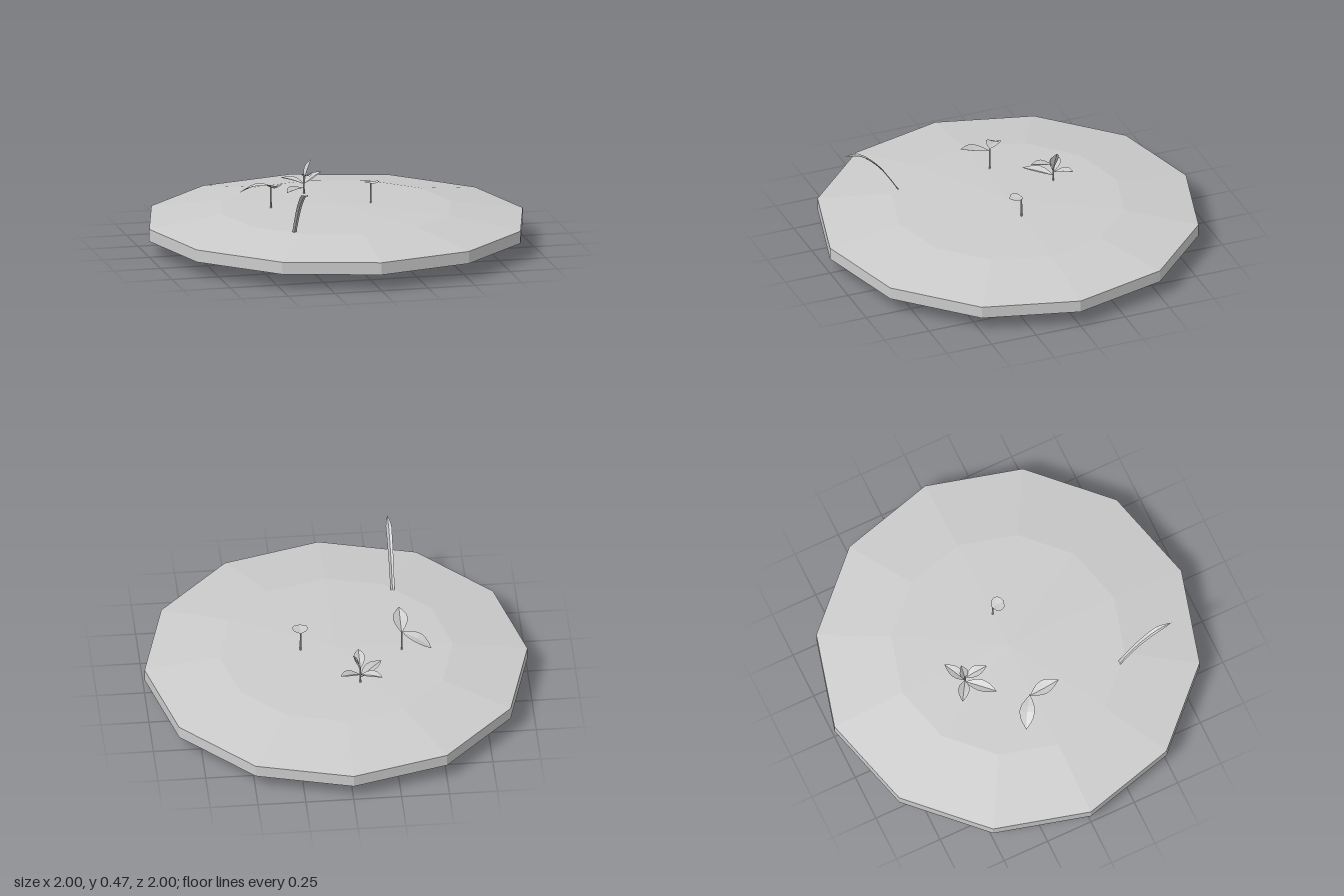
import * as THREE from 'three';

const solid = new THREE.MeshStandardMaterial({ color: 0xcccccc, flatShading: true });
const thin = new THREE.MeshStandardMaterial({ color: 0xcccccc, flatShading: true, side: THREE.DoubleSide });
const V = (p) => new THREE.Vector3(...p);

// Folded leaf swept along a curve: three points per row, midrib below the edges
function leaf(name, points, width, { fold = 0.2, rows = 6, shape = (t) => Math.sin(Math.PI * t) } = {}) {
  const curve = new THREE.CatmullRomCurve3(points.map(V));
  const side = new THREE.Vector3(0, 1, 0)
    .cross(V(points.at(-1)).sub(V(points[0]))).normalize().multiplyScalar(width / 2);
  const pos = [], index = [];
  for (let i = 0; i <= rows; i++) {
    const t = i / rows, w = shape(t), p = curve.getPoint(t);
    const up = new THREE.Vector3().crossVectors(curve.getTangent(t), side).normalize();
    for (const s of [-1, 0, 1]) {
      const q = p.clone().addScaledVector(side, s * w).addScaledVector(up, Math.abs(s) * w * fold * width / 2);
      pos.push(q.x, q.y, q.z);
    }
    if (i < rows) {
      for (const k of [0, 1]) {
        const a = i * 3 + k;
        index.push(a, a + 1, a + 3, a + 1, a + 4, a + 3);
      }
    }
  }
  const g = new THREE.BufferGeometry();
  g.setAttribute('position', new THREE.Float32BufferAttribute(pos, 3));
  g.setIndex(index);
  g.computeVertexNormals();
  const mesh = new THREE.Mesh(g, thin);
  mesh.name = name;
  return mesh;
}

// Thin upright stalk
function stem(x, z, y0, y1) {
  const mesh = new THREE.Mesh(new THREE.CylinderGeometry(0.004, 0.005, y1 - y0, 5), solid);
  mesh.position.set(x, (y0 + y1) / 2, z);
  mesh.name = 'stem';
  return mesh;
}

function plant(name, ...parts) {
  const g = new THREE.Group();
  g.name = name;
  g.add(...parts);
  return g;
}

export function createModel() {
  const model = new THREE.Group();
  model.name = 'plantedDisc';

  // Twelve-sided ground slab with bevelled faces
  const profile = [[0, 0], [0.61, 0.022], [1, 0.085], [1, 0.15], [0.61, 0.21], [0, 0.23]];
  const ground = new THREE.Mesh(
    new THREE.LatheGeometry(profile.map(([r, y]) => new THREE.Vector2(r, y)), 12), solid);
  ground.name = 'ground';
  model.add(ground);

  // Bent grass blade leaning to the front
  model.add(leaf('grassBlade',
    [[-0.34, 0.205, 0.48], [-0.34, 0.335, 0.565], [-0.34, 0.405, 0.63], [-0.34, 0.455, 0.7], [-0.34, 0.468, 0.78]],
    0.032, { rows: 8, fold: 0.4, shape: (t) => (t > 0.8 ? (1 - t) * 5 : 0.7 + 0.375 * t) }));

  // Seedling with two leaves
  model.add(plant('twoLeafPlant',
    stem(-0.34, -0.036, 0.21, 0.335),
    leaf('backLeaf', [[-0.34, 0.335, -0.036], [-0.415, 0.325, -0.088], [-0.488, 0.285, -0.128]], 0.08),
    leaf('frontLeaf', [[-0.34, 0.325, -0.036], [-0.34, 0.343, 0.05], [-0.34, 0.37, 0.13]], 0.078, { fold: 0.5 })));

  // Rosette with four spreading leaves and one upright leaf
  const c = [-0.1, 0.25, -0.295];
  const rosette = plant('rosette', stem(c[0], c[2], 0.215, 0.32));
  for (const [name, y, tip, width] of [
    ['leftBackLeaf', 0.27, [-0.21, 0.295, -0.362], 0.06],
    ['rightBackLeaf', 0.27, [0.01, 0.315, -0.362], 0.06],
    ['lowFrontLeaf', 0.25, [-0.222, 0.258, -0.17], 0.065],
    ['frontLeaf', 0.31, [-0.1, 0.34, -0.17], 0.06],
    ['uprightLeaf', 0.29, [-0.06, 0.4, -0.3], 0.05],
  ]) {
    const base = [c[0], y, c[2]];
    const mid = base.map((v, i) => (v + tip[i]) / 2 + (i === 1 ? 0.004 : 0));
    rosette.add(leaf(name, [base, mid, tip], width, { fold: 0.4 }));
  }
  model.add(rosette);

  // Sprout with a single round leaf
  model.add(plant('roundLeafSprout',
    stem(0.185, 0, 0.215, 0.335),
    leaf('roundLeaf', [[0.185, 0.335, -0.006], [0.185, 0.336, 0.03], [0.185, 0.34, 0.066]], 0.08,
      { fold: 0.2, shape: (t) => Math.sqrt(Math.max(0, 1 - (2 * t - 1) ** 2)) })));

  return model;
}
